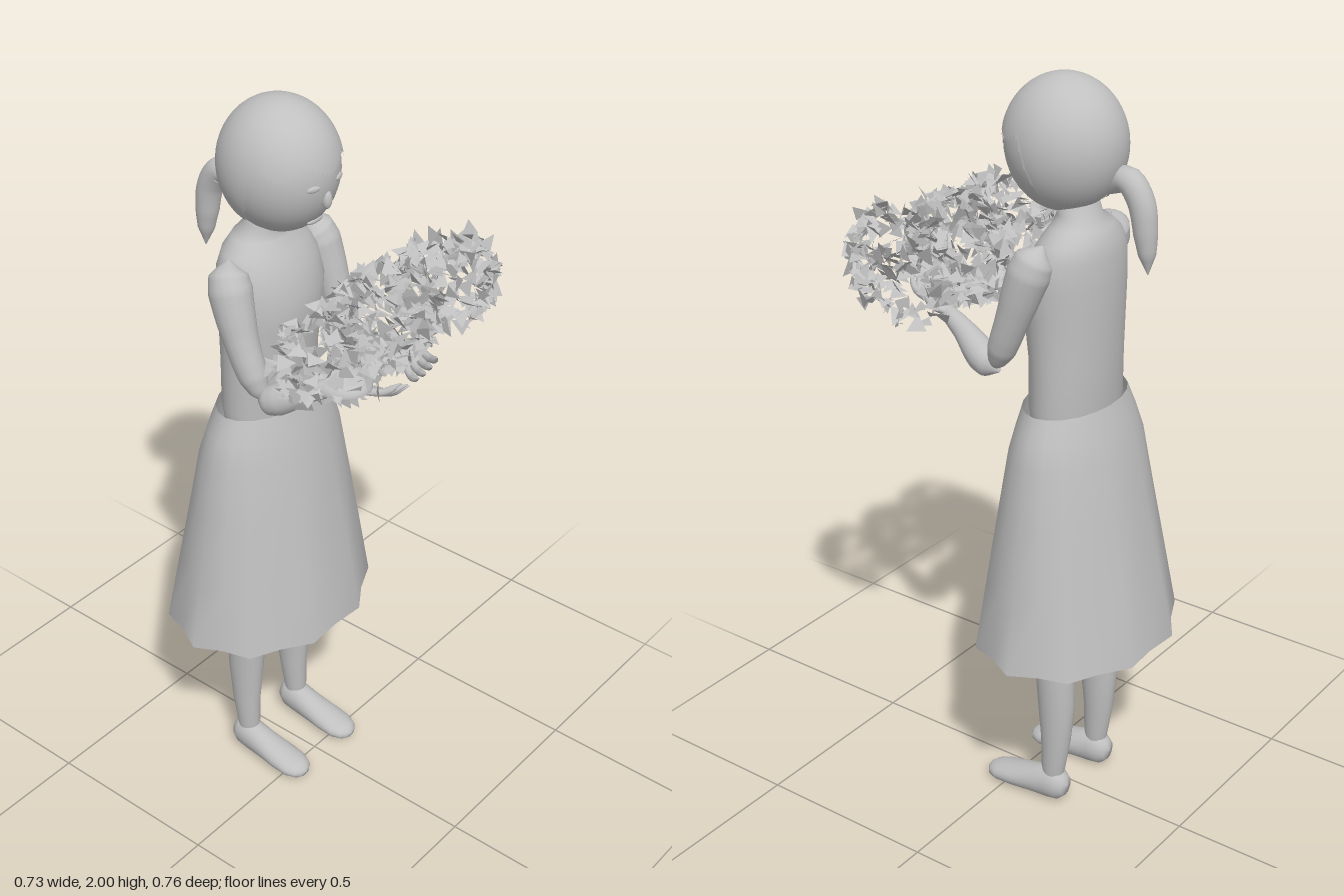
import * as THREE from 'three';
import { mergeVertices } from 'three/addons/utils/BufferGeometryUtils.js';

const grey = new THREE.MeshStandardMaterial({ color: 0xc0c0c0, side: THREE.DoubleSide });
grey.name = 'light grey';

// Weld seams and recompute smooth normals
function smooth(g) {
  g.deleteAttribute('uv');
  if (g.attributes.normal) g.deleteAttribute('normal');
  const m = mergeVertices(g, 1e-5);
  m.computeVertexNormals();
  return m;
}

// Tube along a curve whose radius follows a list of values
function taper(points, radii, seg = 24, sides = 16) {
  const curve = new THREE.CatmullRomCurve3(points.map(p => new THREE.Vector3(...p)));
  const g = new THREE.TubeGeometry(curve, seg, 1, sides);
  const pos = g.attributes.position, v = new THREE.Vector3();
  for (let i = 0; i <= seg; i++) {
    const c = curve.getPointAt(i / seg);
    const f = (i / seg) * (radii.length - 1), k = Math.min(Math.floor(f), radii.length - 2);
    const r = THREE.MathUtils.lerp(radii[k], radii[k + 1], f - k);
    for (let j = 0; j <= sides; j++) {
      const n = i * (sides + 1) + j;
      v.fromBufferAttribute(pos, n).sub(c).multiplyScalar(r).add(c);
      pos.setXYZ(n, v.x, v.y, v.z);
    }
  }
  return smooth(g);
}

// Elliptical sections stacked along y: [y, rx, rz, cz, cx, wave]
function loft(sections, sides = 28) {
  const p = [], idx = [];
  sections.forEach(([y, rx, rz, cz = 0, cx = 0, wave = 0], i) => {
    for (let j = 0; j < sides; j++) {
      const a = (j / sides) * Math.PI * 2, k = j % 2 ? 1 - wave : 1;
      p.push(cx + rx * k * Math.cos(a), y, cz + rz * k * Math.sin(a));
      if (i < sections.length - 1) {
        const A = i * sides + j, B = i * sides + (j + 1) % sides;
        idx.push(A, A + sides, B, B, A + sides, B + sides);
      }
    }
  });
  const g = new THREE.BufferGeometry();
  g.setAttribute('position', new THREE.Float32BufferAttribute(p, 3));
  g.setIndex(idx);
  g.computeVertexNormals();
  return g;
}

const ball = (rx, ry, rz) => new THREE.SphereGeometry(1, 32, 22).scale(rx, ry, rz);

// Hair shell whose lower edge rises over the face
function hairGeometry() {
  const g = new THREE.SphereGeometry(1, 72, 20), pos = g.attributes.position, uv = g.attributes.uv;
  for (let i = 0; i < pos.count; i++) {
    const phi = uv.getX(i) * Math.PI * 2;
    const away = Math.acos(THREE.MathUtils.clamp(Math.sin(phi), -1, 1));
    const drop = THREE.MathUtils.smoothstep(away, 1.2, 1.75);
    const edge = 1.42 + 0.95 * drop + 0.08 * Math.cos(away * 7) * (1 - drop);
    const t = (1 - uv.getY(i)) * edge;
    pos.setXYZ(i, -Math.cos(phi) * Math.sin(t), Math.cos(t), Math.sin(phi) * Math.sin(t));
  }
  return smooth(g.scale(0.146, 0.17, 0.158));
}

// Clusters of small triangular petals, hollow at both ends
function petalGeometry() {
  let seed = 11;
  const rnd = () => (seed = (seed * 16807) % 2147483647) / 2147483647;
  const p = [], v = new THREE.Vector3(), q = new THREE.Quaternion();
  const lobes = [ // centre, radii, count, width of the open middle
    [[-0.21, 1.51, 0.22], [0.135, 0.095, 0.145], 250, 0.6],
    [[0.01, 1.51, 0.2], [0.15, 0.13, 0.15], 370, 0],
    [[0.23, 1.52, 0.22], [0.125, 0.105, 0.145], 250, 0.6]
  ];
  for (const [c, r, count, open] of lobes) {
    for (let n = 0; n < count; n++) {
      const a = rnd() * Math.PI * 2, h = rnd() * 2 - 1;
      const ring = Math.max(Math.sqrt(1 - h * h), open + rnd() * 0.25) * (0.8 + 0.2 * rnd());
      const x = c[0] + r[0] * ring * Math.cos(a), z = c[2] + r[2] * ring * Math.sin(a);
      const y = c[1] + r[1] * h + (z - 0.2) * 0.22;
      q.set(rnd() - 0.5, rnd() - 0.5, rnd() - 0.5, rnd() - 0.5).normalize();
      const s = 0.03 + 0.018 * rnd(), w = s * (0.4 + 0.25 * rnd());
      for (const [u, t] of [[0, -s * 0.6], [w, s * 0.4], [-w, s * 0.5]]) {
        v.set(u, t, 0).applyQuaternion(q);
        p.push(x + v.x, y + v.y, z + v.z);
      }
    }
  }
  const g = new THREE.BufferGeometry();
  g.setAttribute('position', new THREE.Float32BufferAttribute(p, 3));
  g.computeVertexNormals();
  return g;
}

export function createModel() {
  const model = new THREE.Group();
  const body = new THREE.Group();
  body.name = 'figure';
  body.position.x = -0.01;
  model.add(body);
  const add = (name, g, x = 0, y = 0, z = 0, parent = body) => {
    const m = new THREE.Mesh(g, grey);
    m.name = name;
    m.position.set(x, y, z);
    parent.add(m);
    return m;
  };

  // Head, face and hair
  add('head', ball(0.14, 0.166, 0.152), 0, 1.83, -0.1);
  add('hair', hairGeometry(), 0, 1.83, -0.1);
  add('ponytail', taper(
    [[-0.015, 1.74, -0.22], [-0.015, 1.765, -0.27], [-0.015, 1.72, -0.308], [-0.015, 1.63, -0.325], [-0.015, 1.54, -0.333]],
    [0.02, 0.034, 0.034, 0.033, 0.03, 0.022, 0.001]));
  add('nose', ball(0.013, 0.024, 0.012), 0, 1.78, 0.045);
  add('mouth', ball(0.028, 0.008, 0.008), 0, 1.715, 0.008);

  // Torso and neck
  add('torso', loft([
    [1.1, 0.14, 0.09, -0.14], [1.18, 0.151, 0.1, -0.14], [1.3, 0.148, 0.102, -0.14],
    [1.42, 0.152, 0.112, -0.134], [1.5, 0.158, 0.113, -0.133], [1.57, 0.153, 0.1, -0.143],
    [1.61, 0.13, 0.085, -0.15], [1.64, 0.095, 0.068, -0.152], [1.665, 0.06, 0.054, -0.145], [1.74, 0.05, 0.05, -0.125]
  ]));

  // Skirt with ten flutes at the hem
  add('skirt', loft([
    [0.51, 0.315, 0.25, -0.152, 0, 0.075], [0.7, 0.284, 0.213, -0.148, 0, 0.045], [0.9, 0.25, 0.174, -0.144, 0, 0.02],
    [1.05, 0.225, 0.145, -0.142, 0, 0.005], [1.12, 0.203, 0.124, -0.14], [1.18, 0.176, 0.107, -0.138]
  ], 20));

  for (const s of [1, -1]) {
    const side = s > 0 ? 'left' : 'right';

    // Legs and shoes
    add(side + 'Leg', loft([
      [0.07, 0.024, 0.026, -0.15, s * 0.103], [0.11, 0.03, 0.034, -0.15, s * 0.103], [0.2, 0.036, 0.042, -0.157, s * 0.102],
      [0.32, 0.044, 0.053, -0.157, s * 0.101], [0.42, 0.047, 0.056, -0.151, s * 0.1], [0.52, 0.05, 0.058, -0.146, s * 0.1],
      [0.8, 0.068, 0.072, -0.14, s * 0.092], [1.1, 0.07, 0.075, -0.14, s * 0.08]
    ], 18));
    add(side + 'Shoe', loft([ // stacked heel to toe, then laid forward
      [-0.197, 0.002, 0.002, -0.06], [-0.19, 0.025, 0.03, -0.058], [-0.172, 0.035, 0.045, -0.056],
      [-0.14, 0.039, 0.05, -0.056], [-0.09, 0.041, 0.042, -0.046], [-0.03, 0.047, 0.033, -0.036],
      [0.02, 0.046, 0.026, -0.029], [0.046, 0.034, 0.02, -0.026], [0.058, 0.018, 0.012, -0.025], [0.062, 0.001, 0.001, -0.025]
    ], 18).rotateX(Math.PI / 2), s * 0.103);

    // Bent arms
    add(side + 'UpperArm', taper(
      [[s * 0.145, 1.62, -0.14], [s * 0.163, 1.58, -0.125], [s * 0.178, 1.43, -0.075], [s * 0.175, 1.32, -0.03], [s * 0.168, 1.275, -0.005]],
      [0.001, 0.048, 0.055, 0.052, 0.049, 0.045, 0.042, 0.04, 0.037, 0.025, 0.001], 40));
    add(side + 'Forearm', taper(
      [[s * 0.173, 1.275, -0.03], [s * 0.163, 1.3, 0.03], [s * 0.142, 1.34, 0.1], [s * 0.122, 1.37, 0.17]],
      [0.001, 0.038, 0.041, 0.038, 0.033, 0.028, 0.025, 0.02]));

    // Hands with four fingers and a thumb
    const hand = new THREE.Group();
    hand.name = side + 'Hand';
    body.add(hand);
    const palm = add('palm', ball(0.037, 0.018, 0.055), s * 0.108, 1.378, 0.205, hand);
    palm.rotation.set(-0.12, -s * 0.4, s * 0.25);
    for (let i = 0; i < 4; i++) {
      const o = i - 1.5, reach = 0.008 * Math.abs(o);
      add('finger', taper([
        [s * (0.096 + o * 0.014), 1.38 + o * 0.006, 0.235 + o * 0.005],
        [s * (0.07 + o * 0.016), 1.377 + o * 0.012, 0.285 + o * 0.008],
        [s * (0.036 + o * 0.016 + reach), 1.4 + o * 0.014, 0.332 - reach + o * 0.006]
      ], [0.01, 0.0105, 0.01, 0.009, 0.001], 12, 8), 0, 0, 0, hand);
    }
    add('thumb', taper([
      [s * 0.095, 1.378, 0.17], [s * 0.066, 1.39, 0.2], [s * 0.045, 1.41, 0.235]
    ], [0.012, 0.013, 0.011, 0.001], 12, 8), 0, 0, 0, hand);

    // Eyes
    const eye = add(side + 'Eye', ball(0.018, 0.008, 0.005), s * 0.047, 1.822, 0.043);
    eye.rotation.y = s * 0.33;
  }

  // Bouquet
  const bouquet = new THREE.Group();
  bouquet.name = 'bouquet';
  model.add(bouquet);
  add('petals', petalGeometry(), 0, 0, 0, bouquet);
  add('curledLeaf', new THREE.SphereGeometry(0.07, 20, 10, Math.PI, Math.PI, 0, Math.PI / 2).scale(1, 0.6, 1.2),
    -0.23, 1.47, 0.26, bouquet).rotation.y = Math.PI;
  return model;
}
